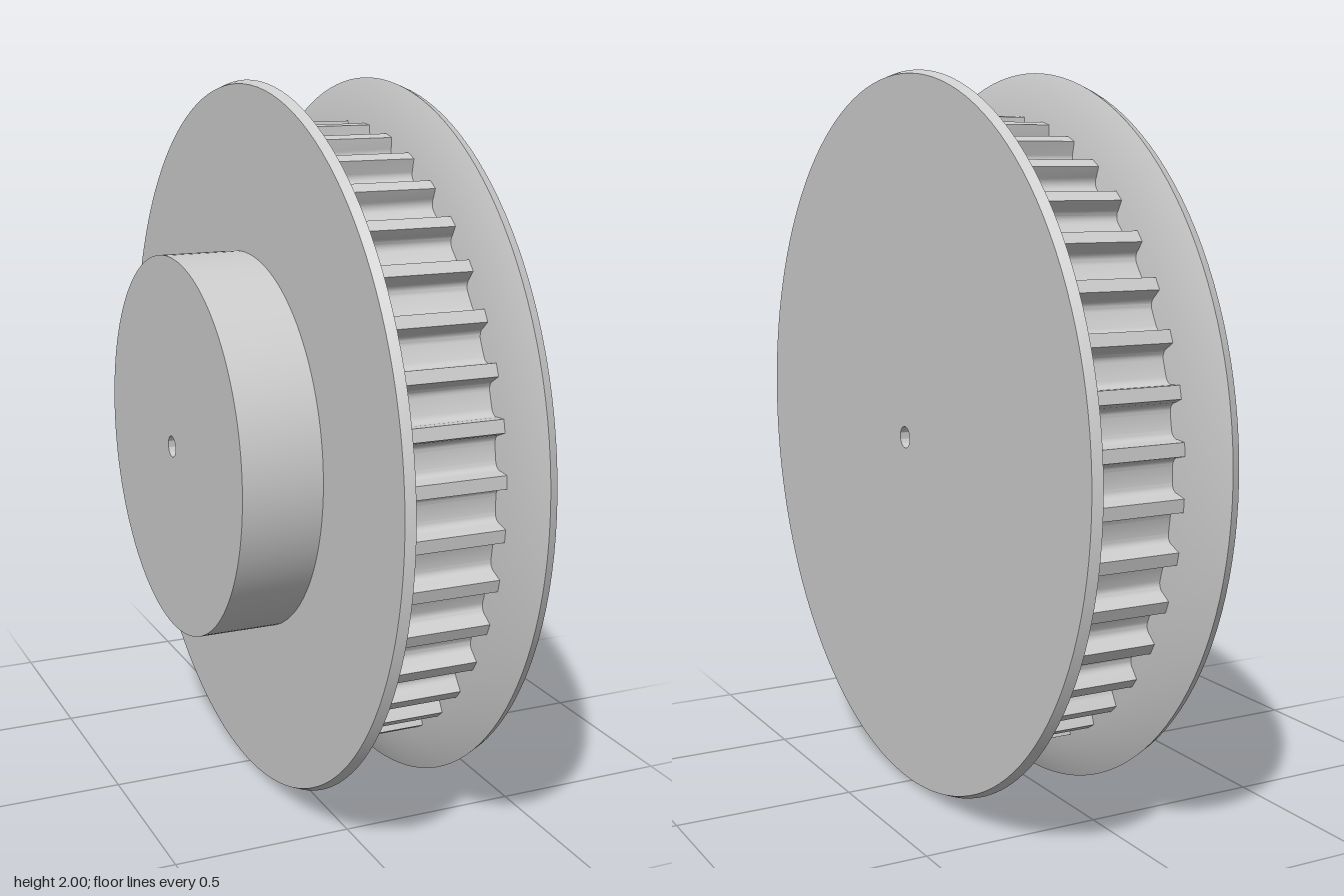
import * as THREE from 'three';
import { toCreasedNormals } from 'three/addons/utils/BufferGeometryUtils.js';

const TEETH = 40, BORE = 0.03;
const RIM_LEFT = 0.24, RIM_RIGHT = -0.015; // ends of the toothed rim along x
const material = new THREE.MeshStandardMaterial({ color: 0xcccccc });

function addPart(group, name, geometry) {
  const mesh = new THREE.Mesh(toCreasedNormals(geometry, 0.45), material);
  mesh.name = name;
  group.add(mesh);
}

// Ring turned about the x axis from a closed [x, radius] profile
function turned(profile) {
  const points = [...profile, profile[0]].map(([x, r]) => new THREE.Vector2(r, x));
  return new THREE.LatheGeometry(points, 128).rotateZ(-Math.PI / 2);
}

// Toothed rim: rounded trapezoid grooves between narrow lands
function toothedRim() {
  const top = 0.88, root = 0.828, fillet = 0.024, topHalf = 0.052, rootHalf = 0.045;
  const half = [[topHalf, top]]; // half a groove, as [sideways, radius]
  for (let i = 0; i <= 5; i++) {
    const a = (i / 5) * Math.PI / 2;
    half.push([rootHalf - fillet + fillet * Math.cos(a), root + fillet - fillet * Math.sin(a)]);
  }
  const groove = [...half.map(([s, r]) => [-s, r]), ...half.reverse()];
  const points = [];
  for (let i = 0; i < TEETH; i++) {
    const a = (i / TEETH) * Math.PI * 2, c = Math.cos(a), s = Math.sin(a);
    for (const [t, r] of groove) points.push(new THREE.Vector2(r * c - t * s, r * s + t * c));
  }
  const shape = new THREE.Shape(points);
  shape.holes.push(new THREE.Path().absarc(0, 0, BORE, 0, Math.PI * 2, true));
  const geometry = new THREE.ExtrudeGeometry(shape, {
    depth: RIM_LEFT - RIM_RIGHT, bevelEnabled: false, curveSegments: 32,
  });
  return geometry.translate(0, 0, RIM_RIGHT).rotateY(Math.PI / 2);
}

export function createModel() {
  const pulley = new THREE.Group();
  pulley.name = 'timingPulley';

  addPart(pulley, 'toothedRim', toothedRim());

  // Flanges flare outward from the rim
  addPart(pulley, 'leftFlange', turned([
    [RIM_LEFT, BORE], [RIM_LEFT, 0.88], [0.29, 1], [0.315, 0.99], [0.315, BORE],
  ]));
  addPart(pulley, 'rightFlange', turned([
    [-0.095, BORE], [-0.095, 0.99], [-0.07, 1], [RIM_RIGHT, 0.88], [RIM_RIGHT, BORE],
  ]));

  // Hub on the right side
  addPart(pulley, 'hub', turned([
    [-0.318, BORE], [-0.318, 0.534], [-0.095, 0.534], [-0.095, BORE],
  ]));

  pulley.position.y = 1;
  const group = new THREE.Group();
  group.add(pulley);
  return group;
}
